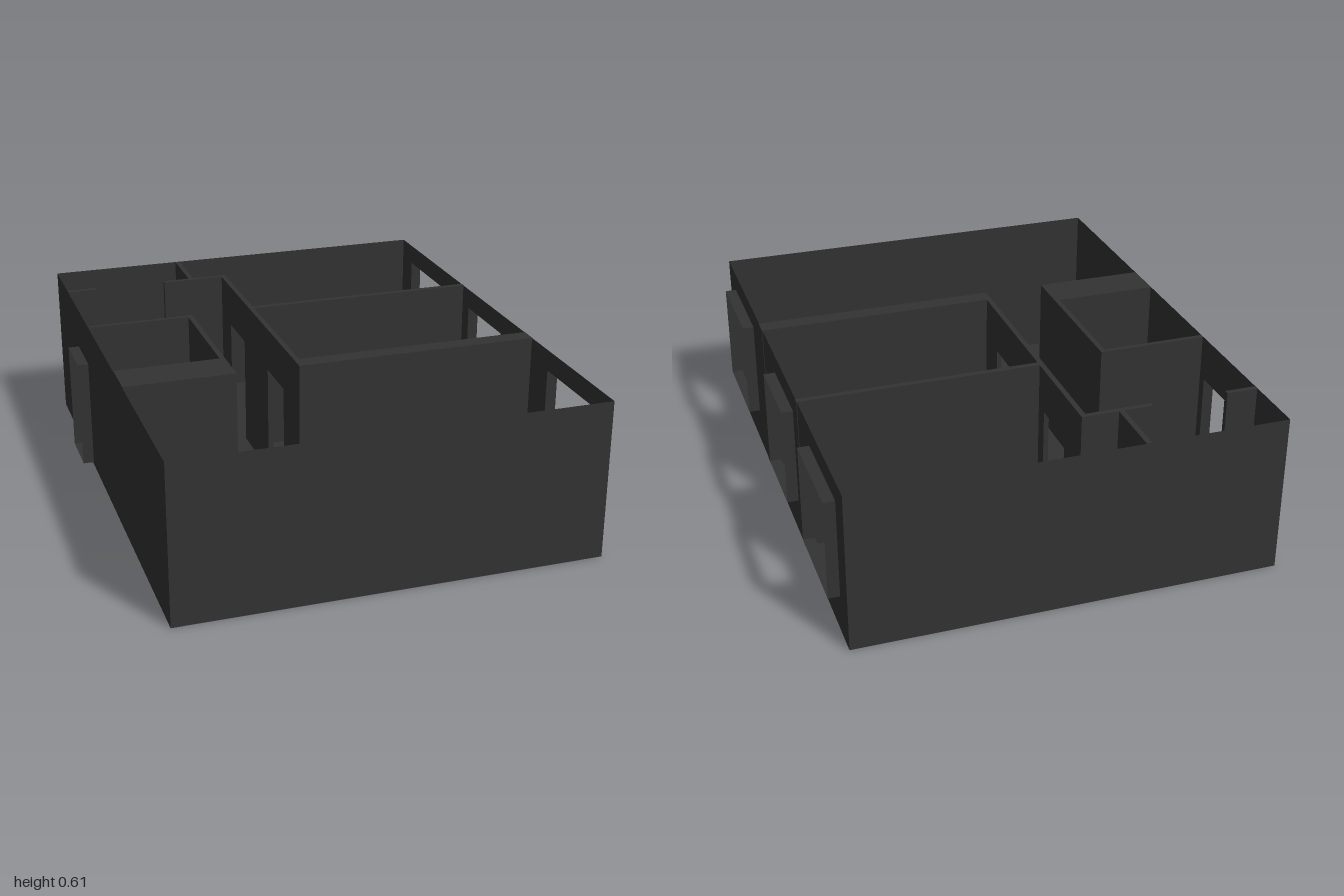
import * as THREE from 'three';

const H = 0.61;              // wall height
const L = -0.8, R = 0.797;   // outer side walls
const DOOR = 0.44;           // door head height

export function createModel() {
  const model = new THREE.Group();
  const solid = new THREE.MeshStandardMaterial({ color: 0x333333 });
  const sheet = new THREE.MeshStandardMaterial({ color: 0x333333, side: THREE.DoubleSide });

  const add = (name, geometry, material) => {
    const mesh = new THREE.Mesh(geometry, material);
    mesh.name = name;
    model.add(mesh);
    return mesh;
  };

  // Solid wall block between two plan corners
  const wall = (name, x0, x1, z0, z1, y0 = 0.002, y1 = H) => {
    const g = new THREE.BoxGeometry(x1 - x0, y1 - y0, z1 - z0);
    g.translate((x0 + x1) / 2, (y0 + y1) / 2, (z0 + z1) / 2);
    add(name, g, solid);
  };

  // Thin side wall in the z-y plane, with openings [z0, z1, y0, y1]
  const sideWall = (name, x, openings) => {
    const s = new THREE.Shape([[-1, 0], [1, 0], [1, H], [-1, H]].map(p => new THREE.Vector2(...p)));
    for (const [z0, z1, y0, y1] of openings) {
      s.holes.push(new THREE.Path([[-z0, y0], [-z0, y1], [-z1, y1], [-z1, y0]].map(p => new THREE.Vector2(...p))));
    }
    const g = new THREE.ShapeGeometry(s);
    g.rotateY(Math.PI / 2);
    g.translate(x, 0, 0);
    add(name, g, sheet);
  };

  // Open sleeve of four thin sheets projecting from an opening
  const sleeve = (name, xa, xb, [z0, z1, y0, y1]) => {
    const group = new THREE.Group();
    group.name = name;
    const w = Math.abs(xb - xa), x = (xa + xb) / 2;
    for (const z of [z0, z1]) {
      const jamb = new THREE.Mesh(new THREE.PlaneGeometry(w, y1 - y0), sheet);
      jamb.name = 'jamb';
      jamb.position.set(x, (y0 + y1) / 2, z);
      group.add(jamb);
    }
    for (const y of [y0, y1]) {
      const rail = new THREE.Mesh(new THREE.PlaneGeometry(w, z1 - z0), sheet);
      rail.name = y === y0 ? 'sill' : 'head';
      rail.rotation.x = -Math.PI / 2;
      rail.position.set(x, y, (z0 + z1) / 2);
      group.add(rail);
    }
    model.add(group);
  };

  // Floor
  const floor = new THREE.PlaneGeometry(R - L, 2);
  floor.rotateX(-Math.PI / 2);
  floor.translate((L + R) / 2, 0, 0);
  add('floor', floor, sheet);

  // Front and back outer walls
  for (const [name, z] of [['frontWall', 1], ['backWall', -1]]) {
    const g = new THREE.PlaneGeometry(R - L, H);
    g.translate((L + R) / 2, H / 2, z);
    add(name, g, sheet);
  }

  // Side walls with windows and entrance
  const windows = [[-0.895, -0.515, 0.15, 0.53], [-0.25, 0.07, 0.15, 0.53], [0.49, 0.875, 0.15, 0.53]];
  const entrance = [-0.545, -0.34, 0.01, DOOR];
  sideWall('windowWall', R, windows);
  sideWall('entranceWall', L, [entrance]);
  windows.forEach(w => sleeve('windowFrame', R, 0.84, w));
  sleeve('entranceFrame', L, -0.842, entrance);

  // Back rooms
  wall('backPartition', -0.28, -0.26, -0.998, -0.755);
  wall('backRoomWallStub', L + 0.002, -0.68, -0.758, -0.738);
  wall('backRoomWall', -0.39, -0.12, -0.758, -0.738);

  // Corridor wall with two doorways
  const doors = [[-0.6, -0.39], [-0.06, 0.15]];
  let z = -0.738;
  for (const [z0, z1] of doors) {
    wall('corridorWall', -0.14, -0.12, z, z0);
    wall('doorLintel', -0.14, -0.12, z0, z1, DOOR);
    z = z1;
  }
  wall('corridorWall', -0.14, -0.12, z, 0.28);

  // Cross walls between the window rooms
  wall('roomDivider', -0.12, R + 0.002, -0.335, -0.312);
  wall('thickDivider', -0.14, R + 0.002, 0.28, 0.347);

  // Small enclosed room
  wall('smallRoomBackWall', L + 0.002, -0.378, -0.308, -0.29);
  wall('smallRoomSideWall', -0.398, -0.378, -0.29, 0.185);
  wall('smallRoomThickWall', L + 0.002, -0.378, 0.185, 0.347);

  return model;
}
